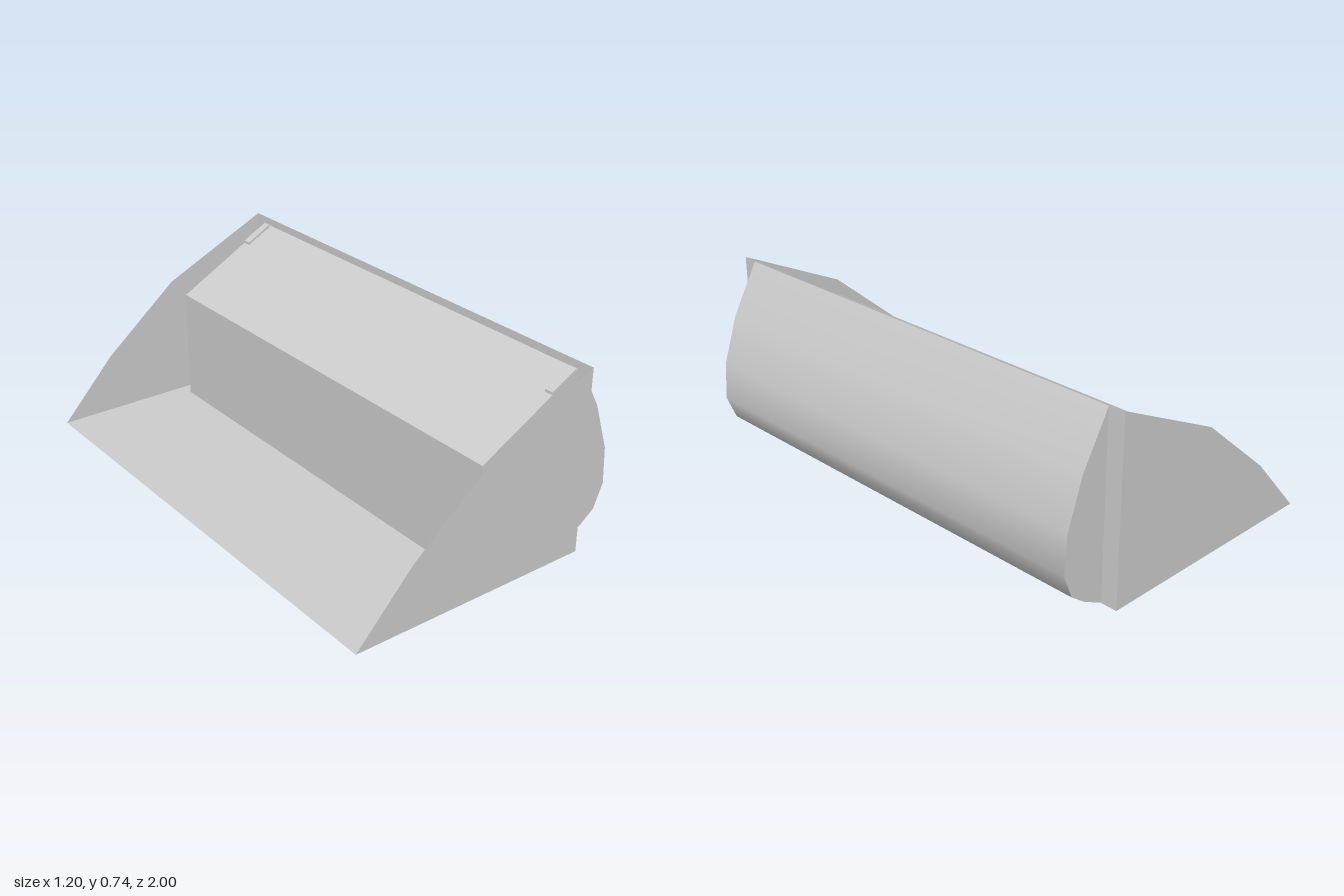
import * as THREE from 'three';
import { toCreasedNormals } from 'three/addons/utils/BufferGeometryUtils.js';

const material = new THREE.MeshStandardMaterial({ color: 0xcccccc, side: THREE.DoubleSide });

const shapeOf = (points) => new THREE.Shape(points.map(([x, y]) => new THREE.Vector2(x, y)));

function add(group, name, geometry) {
  const mesh = new THREE.Mesh(geometry, material);
  mesh.name = name;
  group.add(mesh);
  return mesh;
}

// Prism of an x-y profile running from z0 to z1
function prism(points, z0, z1) {
  const geometry = new THREE.ExtrudeGeometry(shapeOf(points), { depth: z1 - z0, bevelEnabled: false });
  return geometry.translate(0, 0, z0);
}

export function createModel() {
  const group = new THREE.Group();
  const back = 0.41, low = -0.6, inner = 0.935;

  // Thin tray: floor, upright panel and two end plates
  const floor = add(group, 'floor', new THREE.PlaneGeometry(back - low, 2).rotateX(-Math.PI / 2));
  floor.position.x = (back + low) / 2;

  const panel = add(group, 'uprightPanel', new THREE.PlaneGeometry(2, 0.735).rotateY(Math.PI / 2));
  panel.position.set(back, 0.735 / 2, 0);

  const plate = shapeOf([[low, 0], [back, 0], [back, 0.735], [-0.05, 0.518], [-0.37, 0.25]]);
  for (const side of [1, -1]) {
    const end = add(group, side > 0 ? 'frontEndPlate' : 'rearEndPlate', new THREE.ShapeGeometry(plate));
    end.position.z = side;
  }

  // Inner box with a sloping lid
  add(group, 'innerBox', prism([[-0.02, 0.002], [back - 0.003, 0.002], [back - 0.003, 0.705], [-0.02, 0.47]], -inner, inner));

  // Small flat tabs lying on the lid near both ends
  const tab = [[0.29, 0.639], [0.4, 0.699], [0.4, 0.711], [0.29, 0.651]];
  add(group, 'frontTab', prism(tab, 0.9, inner));
  add(group, 'rearTab', prism(tab, -inner, -0.9));

  // Rounded cover bulging out of the upright panel
  const bulge = [
    [back + 0.002, 0.007], [0.42, 0.007], [0.495, 0.045], [0.56, 0.093], [0.6, 0.19],
    [0.59, 0.34], [0.525, 0.53], [back + 0.002, 0.732],
  ];
  add(group, 'roundedCover', toCreasedNormals(prism(bulge, -inner, inner), 0.75));

  return group;
}
